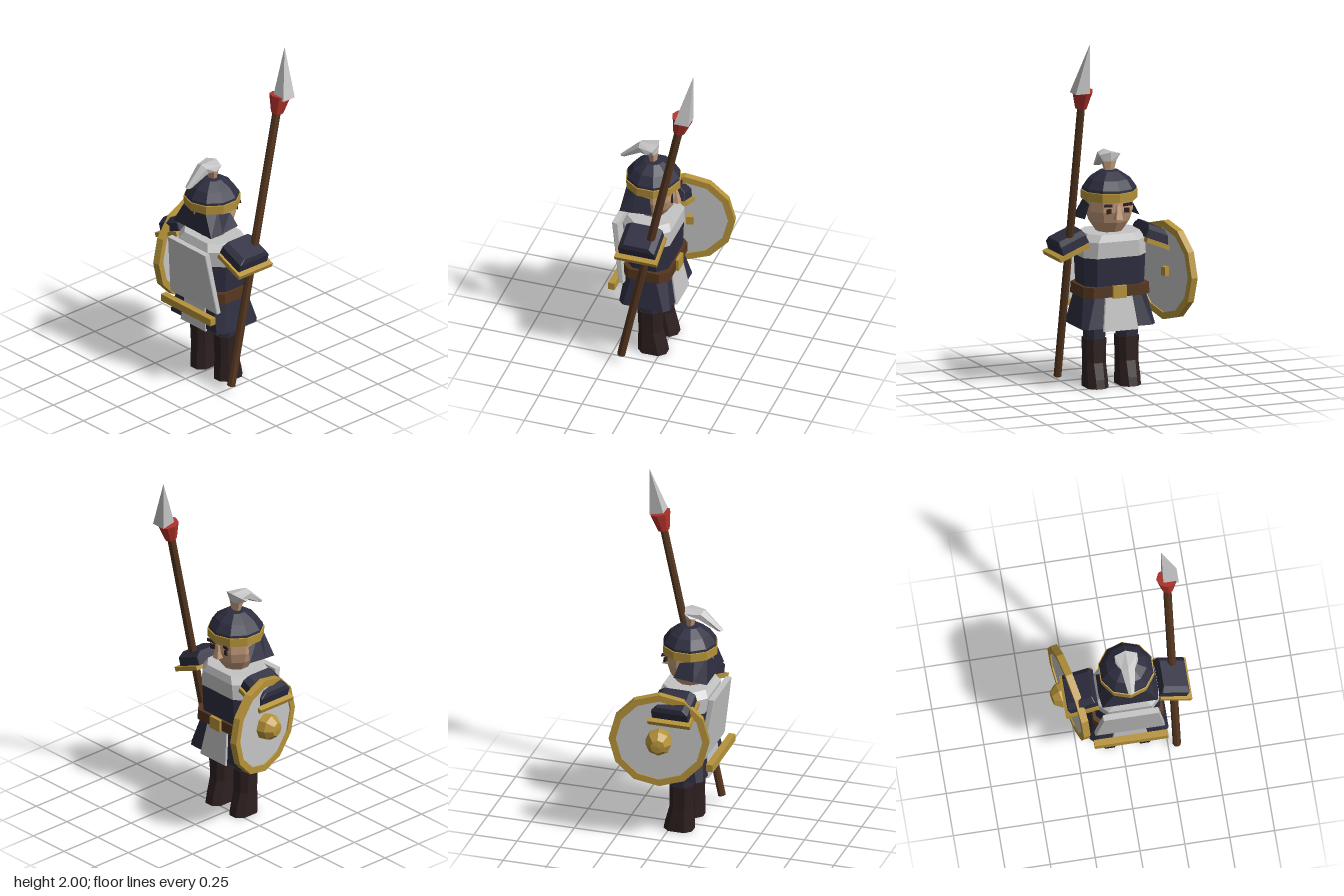
import * as THREE from 'three';

const mat = (name, color, extra = {}) => {
  const m = new THREE.MeshStandardMaterial({ color, flatShading: true, side: THREE.DoubleSide, ...extra });
  m.name = name;
  return m;
};
const CX = 0.03; // body centre line

// Skin over cross-section loops (listed counter-clockwise from above, bottom to top)
function loft(rings) {
  const pos = [], n = rings[0].length;
  const tri = (...p) => p.forEach((v) => pos.push(...v));
  for (let i = 0; i + 1 < rings.length; i++) {
    for (let j = 0; j < n; j++) {
      const k = (j + 1) % n, a = rings[i], b = rings[i + 1];
      tri(a[j], a[k], b[k]);
      tri(a[j], b[k], b[j]);
    }
  }
  const low = rings[0], top = rings[rings.length - 1];
  for (let j = 1; j + 1 < n; j++) {
    tri(low[0], low[j + 1], low[j]);
    tri(top[0], top[j], top[j + 1]);
  }
  const g = new THREE.BufferGeometry();
  g.setAttribute('position', new THREE.Float32BufferAttribute(pos, 3));
  g.computeVertexNormals();
  return g;
}

// Rectangle with cut corners at height y: half width w, depth z0..z1, cut c
const oct = (y, w, z0, z1, c, x = 0) => [
  [w, z1 - c], [w, z0 + c], [w - c, z0], [c - w, z0],
  [-w, z0 + c], [-w, z1 - c], [c - w, z1], [w - c, z1],
].map(([px, pz]) => [x + px, y, pz]);

// Slanted ellipse between (z, y) points p and q, half width w
const hoop = (p, q, w) => Array.from({ length: 6 }, (_, i) => {
  const a = (i / 6) * Math.PI * 2, c = Math.cos(a) / 2;
  return [-w * Math.sin(a), (p[1] + q[1]) / 2 + c * (p[1] - q[1]), (p[0] + q[0]) / 2 + c * (p[0] - q[0])];
});

const lathe = (pts, n) => new THREE.LatheGeometry(pts.map((p) => new THREE.Vector2(...p)), n);

export function createModel() {
  const navy = mat('navy cloth', 0x2d2d40), white = mat('pale cloth', 0xc4c4c4), gold = mat('gold', 0xb6933a);
  const brown = mat('brown leather', 0x55361f), dark = mat('dark leather', 0x2e2020);
  const skin = mat('skin', 0xc39a7a), red = mat('red', 0xb4332c);

  const model = new THREE.Group();
  const add = (name, geo, m, parent, x = 0, y = 0, z = 0) => {
    const mesh = new THREE.Mesh(geo, m);
    mesh.name = name;
    mesh.position.set(x, y, z);
    parent.add(mesh);
    return mesh;
  };
  const box = (w, h, d) => new THREE.BoxGeometry(w, h, d);

  const body = new THREE.Group();
  body.name = 'body';
  body.position.x = CX;
  model.add(body);

  // Torso, skirt and belt
  add('skirt', loft([oct(0.35, 0.22, -0.08, 0.215, 0.03), oct(0.53, 0.185, -0.045, 0.195, 0.05)]), navy, body);
  add('torso', loft([oct(0.53, 0.175, -0.045, 0.19, 0.05), oct(0.74, 0.185, -0.055, 0.2, 0.06)]), navy, body);
  add('chest', loft([oct(0.74, 0.187, -0.058, 0.205, 0.06), oct(0.83, 0.18, -0.06, 0.22, 0.06),
    oct(0.87, 0.155, -0.045, 0.2, 0.06)]), white, body);
  add('belt', loft([oct(0.52, 0.2, -0.065, 0.205, 0.045), oct(0.58, 0.195, -0.065, 0.205, 0.045)]), brown, body);
  add('buckle', box(0.08, 0.07, 0.02), gold, body, 0, 0.55, -0.07);

  // Cloth panels in front and behind
  const panel = (z0, z1) => loft([oct(0.335, 0.105, z0, z0 + 0.015, 0.004), oct(0.53, 0.08, z1, z1 + 0.015, 0.004)]);
  add('frontPanel', panel(-0.093, -0.06), white, body);
  add('backPanel', panel(0.207, 0.19), white, body);

  // Stiff back cape with its weighted bar
  add('cape', loft([oct(0.475, 0.195, 0.187, 0.217, 0.004), oct(0.84, 0.155, 0.235, 0.27, 0.004)]), white, body);
  add('capeBar', box(0.41, 0.042, 0.038), gold, body, 0, 0.446, 0.256);

  // Legs, boots and shoulder guards on both sides
  for (const s of [-1, 1]) {
    const x = s * 0.097;
    add('leg', loft([oct(0.25, 0.055, 0.005, 0.12, 0.03, x), oct(0.42, 0.055, 0, 0.125, 0.03, x)]), navy, body);
    add('boot', loft([oct(0, 0.06, -0.035, 0.13, 0.035, x), oct(0.05, 0.06, -0.025, 0.13, 0.035, x),
      oct(0.14, 0.057, 0, 0.125, 0.03, x), oct(0.275, 0.06, 0, 0.13, 0.03, x)]), dark, body);

    const guard = new THREE.Group();
    guard.name = s > 0 ? 'leftShoulder' : 'rightShoulder';
    guard.position.set(s * 0.26, 0.785, 0.067);
    guard.rotation.z = -s * 0.39;
    body.add(guard);
    add('shoulderTrim', box(0.19, 0.025, 0.245), gold, guard);
    add('shoulderPlate', loft([oct(0.012, 0.085, -0.107, 0.107, 0.004, -s * 0.02),
      oct(0.06, 0.082, -0.105, 0.105, 0.004, -s * 0.02),
      oct(0.085, 0.075, -0.075, 0.075, 0.004, -s * 0.025)]), navy, guard);
  }

  // Head, face and helmet
  const head = new THREE.Group();
  head.name = 'head';
  head.position.z = 0.08;
  body.add(head);
  add('face', lathe([[0, 0.86], [0.075, 0.87], [0.115, 0.93], [0.133, 0.99], [0.133, 1.07]], 10), skin, head);
  add('nose', loft([oct(0.955, 0.022, -0.155, -0.11, 0.004), oct(1.03, 0.01, -0.138, -0.11, 0.004)]), skin, head);
  for (const s of [-1, 1]) {
    const eye = add('eye', box(0.028, 0.026, 0.009), dark, head, s * 0.053, 1.0, -0.125);
    const brow = add('brow', box(0.06, 0.016, 0.009), dark, head, s * 0.055, 1.033, -0.127);
    eye.rotation.y = s * 0.35;
    brow.rotation.set(0, s * 0.35, s * 0.15);
  }
  add('helmetBand', lathe([[0.135, 1.05], [0.156, 1.05], [0.158, 1.1], [0.135, 1.105]], 10), gold, head);
  add('helmetDome', lathe([[0.152, 1.1], [0.15, 1.115], [0.115, 1.165], [0.055, 1.205], [0, 1.212]], 10), navy, head);

  // Neck guard: three flared plates around the back of the head
  const top = [[-0.125, 1.03, -0.02], [-0.115, 1.07, 0.06], [-0.08, 1.07, 0.125],
    [0.08, 1.07, 0.125], [0.115, 1.07, 0.06], [0.125, 1.03, -0.02]];
  const low = [[-0.163, 0.95, -0.045], [-0.165, 0.94, 0.07], [-0.155, 0.93, 0.145],
    [0.155, 0.93, 0.145], [0.165, 0.94, 0.07], [0.163, 0.95, -0.045]];
  const strip = [];
  for (let i = 0; i < 5; i++) {
    strip.push(...low[i], ...low[i + 1], ...top[i + 1], ...low[i], ...top[i + 1], ...top[i]);
  }
  const neckGeo = new THREE.BufferGeometry();
  neckGeo.setAttribute('position', new THREE.Float32BufferAttribute(strip, 3));
  neckGeo.computeVertexNormals();
  add('neckGuard', neckGeo, navy, head);

  // Plume curling backwards
  add('plumeBase', loft([hoop([0.06, 1.2], [0.1, 1.2], 0.028), hoop([0.052, 1.26], [0.115, 1.255], 0.045)]), skin, body);
  add('plume', loft([hoop([0.052, 1.26], [0.115, 1.255], 0.045), hoop([0.05, 1.31], [0.122, 1.257], 0.073),
    hoop([0.16, 1.31], [0.135, 1.25], 0.045), hoop([0.272, 1.2], [0.235, 1.2], 0.02)]), white, body);

  // Round shield on the right arm, its axis turned outwards
  const shield = new THREE.Group();
  shield.name = 'shield';
  shield.position.set(-0.275, 0.635, 0);
  shield.rotation.set(0, 0.21, Math.PI / 2);
  model.add(shield);
  add('shieldRim', lathe([[0.24, -0.02], [0.279, -0.02], [0.279, 0.02], [0.24, 0.02], [0.24, -0.02]], 12), gold, shield);
  add('shieldFace', new THREE.CylinderGeometry(0.25, 0.25, 0.024, 12), white, shield);
  add('shieldBoss', lathe([[0.075, 0.01], [0.072, 0.06], [0.04, 0.1], [0, 0.105]], 8), gold, shield);
  add('shieldGrip', box(0.05, 0.03, 0.04), gold, shield, 0, -0.025, -0.03);

  // Spear leaning forward
  const spear = new THREE.Group();
  spear.name = 'spear';
  model.add(spear);
  const foot = new THREE.Vector3(0.297, 0.048, 0.177), tip = new THREE.Vector3(0.297, 1.64, -0.16);
  const dir = tip.clone().sub(foot);
  const shaft = add('shaft', new THREE.CylinderGeometry(0.023, 0.023, dir.length(), 8), brown, spear);
  shaft.position.copy(foot).add(tip).multiplyScalar(0.5);
  shaft.quaternion.setFromUnitVectors(new THREE.Vector3(0, 1, 0), dir.normalize());
  const collar = add('spearCollar', new THREE.CylinderGeometry(0.06, 0.034, 0.105, 8), red, spear, 0.299, 1.68, -0.17);
  collar.quaternion.copy(shaft.quaternion);
  const a = [0.276, 1.72, -0.235], b = [0.361, 1.72, -0.235], c = [0.361, 1.72, -0.15], d = [0.276, 1.72, -0.15];
  const peak = [0.276, 2, -0.235];
  add('spearHead', loft([[c, b, a, d], [peak, peak, peak, peak]]), white, spear);

  return model;
}
